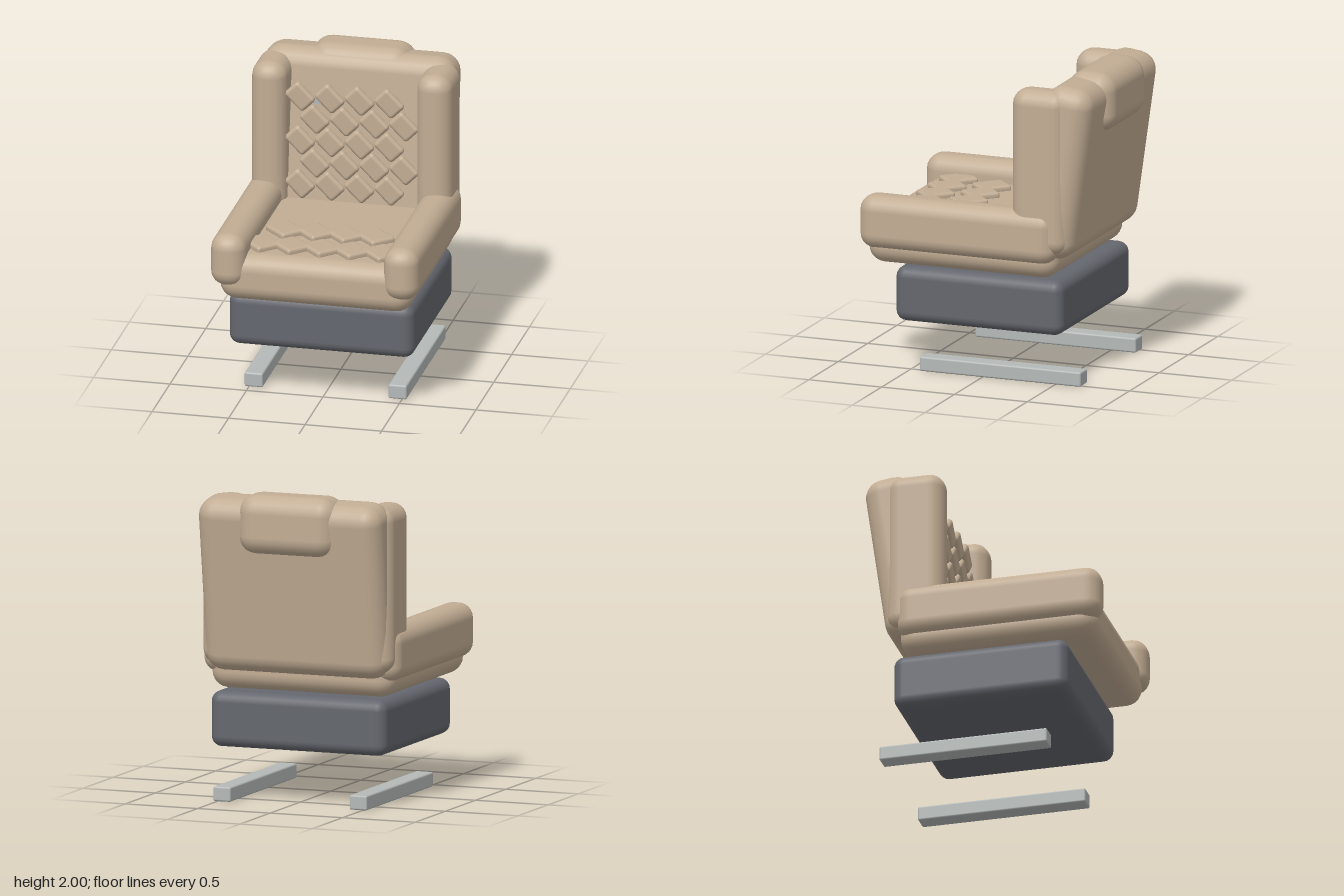
import * as THREE from 'three';
import { RoundedBoxGeometry } from 'three/addons/geometries/RoundedBoxGeometry.js';

const leather = new THREE.MeshStandardMaterial({ color: 0xc2ad94 });
leather.name = 'tan leather';
const plastic = new THREE.MeshStandardMaterial({ color: 0x64676e });
plastic.name = 'dark grey base';
const metal = new THREE.MeshStandardMaterial({ color: 0xb4b9b8 });
metal.name = 'light metal';

export function createModel() {
  const model = new THREE.Group();
  model.name = 'paddedSeat';

  // Adds one softly rounded block, given its size, corner radius and centre
  function block(name, material, size, radius, centre, parent = model) {
    const mesh = new THREE.Mesh(new RoundedBoxGeometry(...size, 3, radius), material);
    mesh.name = name;
    mesh.position.set(...centre);
    parent.add(mesh);
    return mesh;
  }

  // Pedestal and seat cushion
  block('base', plastic, [1.21, 0.36, 1.15], 0.07, [0, 0.51, 0.005]);
  block('seatCushion', leather, [1.26, 0.315, 1.30], 0.11, [0, 0.857, 0.12]);

  // Reclined backrest and headrest
  block('backrest', leather, [1.26, 1.14, 0.32], 0.12, [0, 1.4, -0.54]).rotation.x = -0.14;
  block('headrest', leather, [0.67, 0.39, 0.33], 0.12, [0, 1.805, -0.635]);

  // Mirrored side parts
  for (const [side, s] of [['left', 1], ['right', -1]]) {
    block(side + 'Armrest', leather, [0.23, 0.35, 1.345], 0.1, [s * 0.565, 0.975, 0.135]);
    block(side + 'BackWing', leather, [0.23, 1.08, 0.38], 0.1, [s * 0.54, 1.4, -0.42]);
    block(side + 'FloorRail', metal, [0.12, 0.095, 1.105], 0.012, [s * 0.47, 0.0475, -0.122]);

    const post = new THREE.Mesh(new THREE.CylinderGeometry(0.023, 0.023, 0.16, 16), metal);
    post.name = side + 'HeadrestPost';
    post.rotation.x = Math.PI / 2;
    post.position.set(s * 0.24, 1.68, -0.42);
    model.add(post);
  }

  // Quilted diamonds on the backrest, in staggered rows
  const backQuilt = new THREE.Group();
  backQuilt.name = 'backQuilting';
  model.add(backQuilt);
  for (let row = 0; row < 5; row++) {
    for (let col = 0; col < 4; col++) {
      const x = -0.34 + col * 0.194 + (row % 2) * 0.096;
      block('backDiamond', leather, [0.17, 0.13, 0.05], 0.024,
        [x, 1.12 + row * 0.149, -0.315], backQuilt).rotation.z = -Math.PI / 4;
    }
  }

  // Quilted diamonds on the seat, overlapping sideways
  const seatQuilt = new THREE.Group();
  seatQuilt.name = 'seatQuilting';
  model.add(seatQuilt);
  for (const [count, startX, z] of [[4, -0.3, 0.27], [5, -0.395, 0.535]]) {
    for (let col = 0; col < count; col++) {
      block('seatDiamond', leather, [0.21, 0.05, 0.175], 0.02,
        [startX + col * 0.196, 1.025, z], seatQuilt).rotation.y = -Math.PI / 4;
    }
  }

  return model;
}
